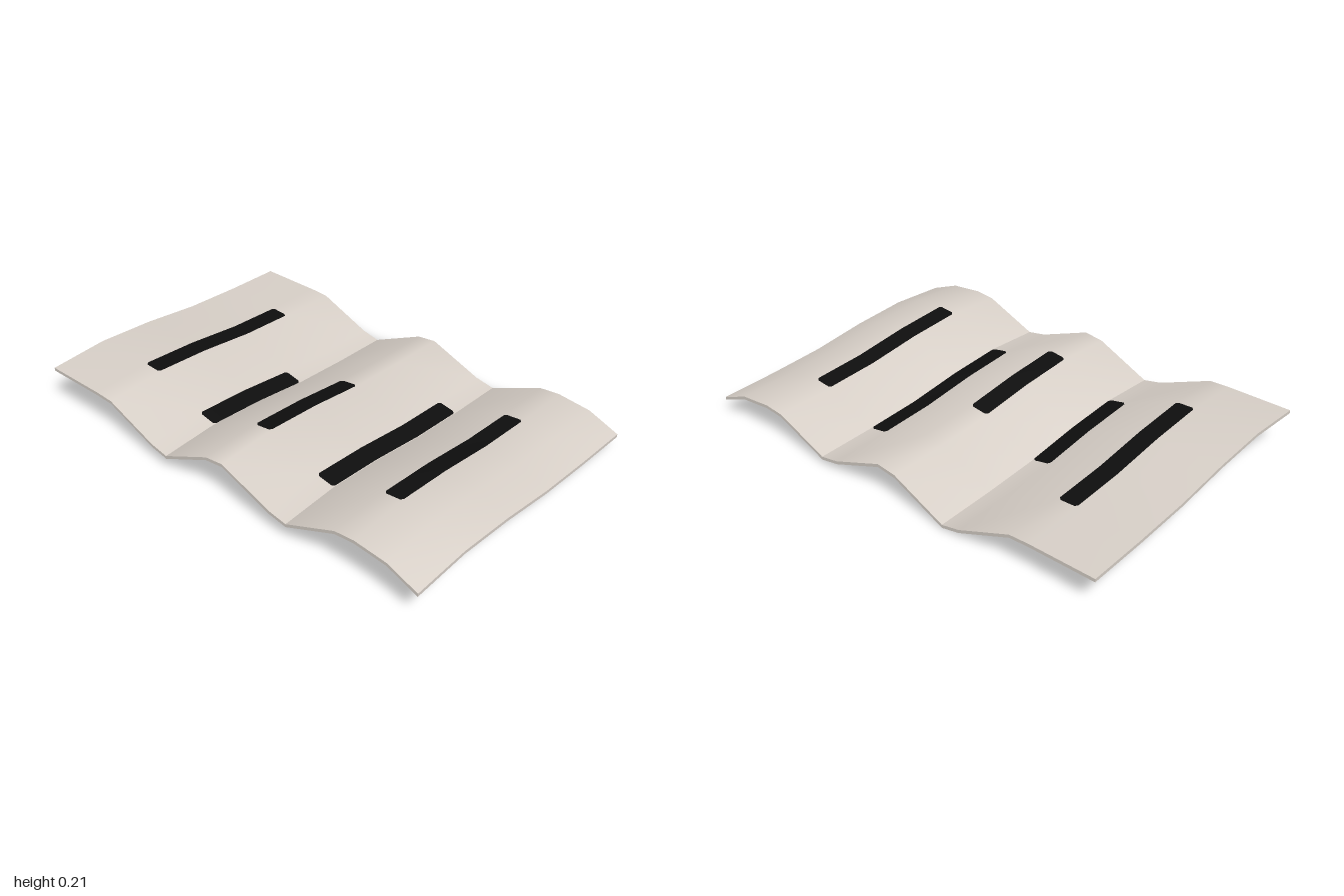
import * as THREE from 'three';
import { toCreasedNormals } from 'three/addons/utils/BufferGeometryUtils.js';

// Height of the underside = side-to-side wave + front-to-back wave, as [position, height] knots
const WAVE_X = [[-0.667, 0.049], [-0.4, 0.065], [-0.133, 0.049], [0.133, 0.019], [0.4, 0.006], [0.667, 0]];
const WAVE_Z = [[-1, 0.122], [-0.71, 0.123], [-0.62, 0.119], [-0.375, 0.018], [-0.29, 0], [-0.045, 0.116],
  [0.045, 0.128], [0.29, 0.034], [0.378, 0.018], [0.62, 0.123], [0.71, 0.132], [0.86, 0.117], [1, 0.062]];
const THICK = 0.014;

function sample(knots, t) {
  let i = 0;
  while (i < knots.length - 2 && t > knots[i + 1][0]) i++;
  const [a, ya] = knots[i], [b, yb] = knots[i + 1];
  return ya + (yb - ya) * (t - a) / (b - a);
}
const height = (x, z) => sample(WAVE_X, x) + sample(WAVE_Z, z);

// Closed slab following the wave; zAt(x, j) gives the z of row j in the column at x
function wavySlab(xs, rows, zAt, low, high) {
  const pos = [];
  const point = (i, j, offset) => {
    const x = xs[i], z = zAt(x, j);
    return [x, height(x, z) + offset, z];
  };
  const quad = (a, b, c, d) => pos.push(...a, ...b, ...c, ...a, ...c, ...d);
  const nx = xs.length - 1, nz = rows - 1;
  for (let i = 0; i < nx; i++) {
    for (let j = 0; j < nz; j++) {
      quad(point(i, j, high), point(i, j + 1, high), point(i + 1, j + 1, high), point(i + 1, j, high));
      quad(point(i, j, low), point(i + 1, j, low), point(i + 1, j + 1, low), point(i, j + 1, low));
    }
    // front and back edges
    quad(point(i, nz, low), point(i + 1, nz, low), point(i + 1, nz, high), point(i, nz, high));
    quad(point(i + 1, 0, low), point(i, 0, low), point(i, 0, high), point(i + 1, 0, high));
  }
  // side edges
  for (let j = 0; j < nz; j++) {
    quad(point(0, j, low), point(0, j + 1, low), point(0, j + 1, high), point(0, j, high));
    quad(point(nx, j + 1, low), point(nx, j, low), point(nx, j, high), point(nx, j + 1, high));
  }
  const geometry = new THREE.BufferGeometry();
  geometry.setAttribute('position', new THREE.Float32BufferAttribute(pos, 3));
  return toCreasedNormals(geometry, Math.PI / 6);
}

export function createModel() {
  const group = new THREE.Group();
  group.name = 'wavySheet';
  const paper = new THREE.MeshStandardMaterial({ name: 'warmGreyPaper', color: 0xd8d0c8 });
  const ink = new THREE.MeshStandardMaterial({ name: 'blackInk', color: 0x0e0e0e });

  const sheet = new THREE.Mesh(
    wavySlab(WAVE_X.map(k => k[0]), WAVE_Z.length, (x, j) => WAVE_Z[j][0], 0, THICK), paper);
  sheet.name = 'sheet';
  group.add(sheet);

  // Printed bars with clipped corners, showing on both faces
  [[-0.667, 0.39], [-0.333, 0.127], [0, 0.127], [0.333, 0.39], [0.667, 0.39]].forEach(([z, right], n) => {
    const left = -0.397, clip = 0.01;
    const xs = [left, left + clip, -0.133, ...(right > 0.133 ? [0.133] : []), right - clip, right];
    const zAt = (x, j) => z + (j ? 1 : -1) * (x === left || x === right ? 0.032 : 0.042);
    const bar = new THREE.Mesh(wavySlab(xs, 2, zAt, -0.002, THICK + 0.002), ink);
    bar.name = `textBar${n + 1}`;
    group.add(bar);
  });
  return group;
}
